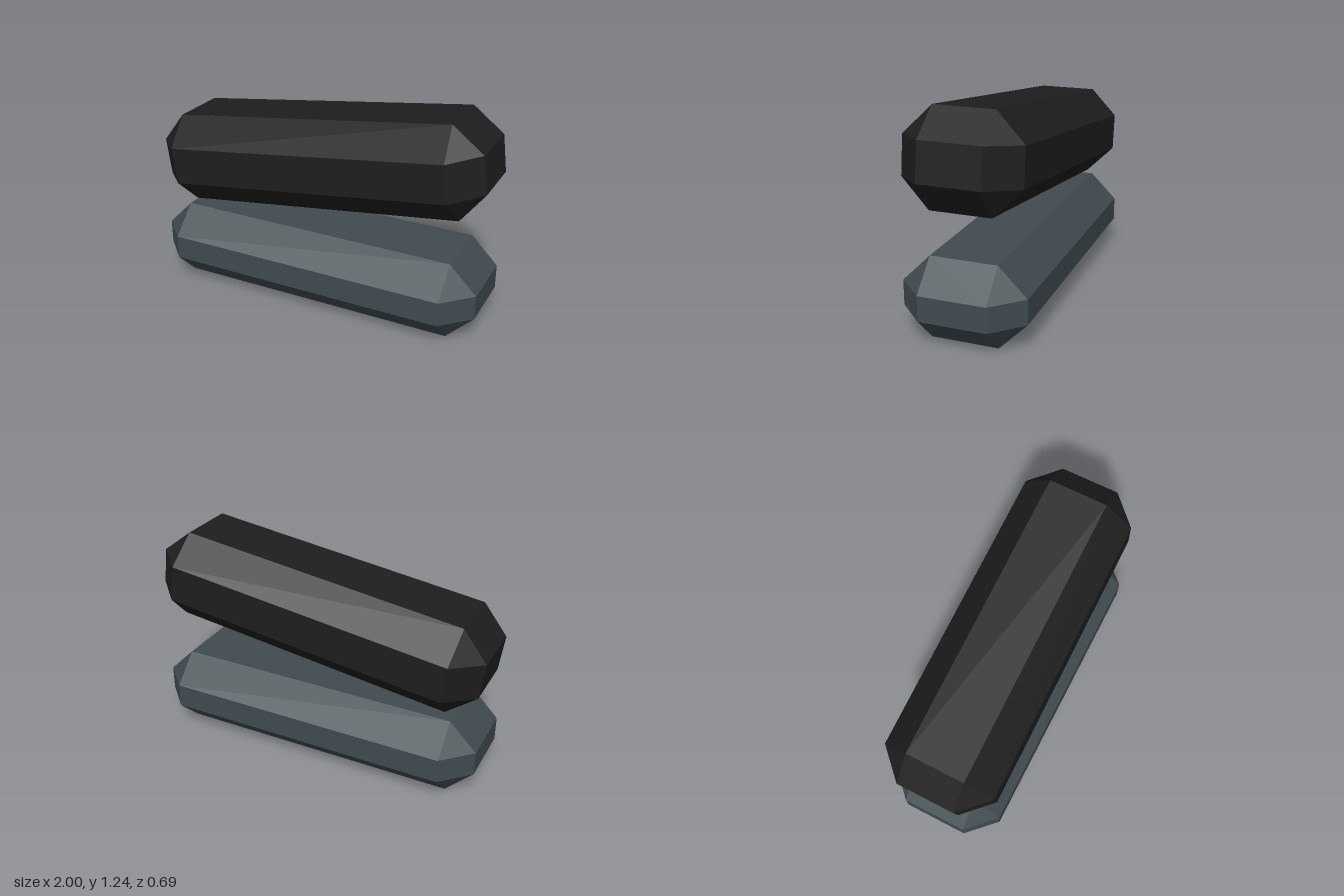
import * as THREE from 'three';
import { ConvexGeometry } from 'three/addons/geometries/ConvexGeometry.js';

// Box with every edge cut by a flat bevel and every corner by a triangle
function bevelledBox(width, height, depth, bevel) {
  const half = [width / 2, height / 2, depth / 2];
  const points = [];
  for (const sx of [-1, 1]) for (const sy of [-1, 1]) for (const sz of [-1, 1]) {
    const signs = [sx, sy, sz];
    // each corner gives one point per adjoining face
    for (let face = 0; face < 3; face++) {
      const p = signs.map((s, i) => s * (half[i] - (i === face ? 0 : bevel)));
      points.push(new THREE.Vector3(...p));
    }
  }
  return new ConvexGeometry(points);
}

export function createModel() {
  const slate = new THREE.MeshStandardMaterial({ color: 0x404b50 });
  slate.name = 'slate grey';
  const black = new THREE.MeshStandardMaterial({ color: 0x1e1e1e });
  black.name = 'soft black';

  const group = new THREE.Group();

  // Level lower block
  const lower = new THREE.Mesh(bevelledBox(1.985, 0.458, 0.692, 0.158), slate);
  lower.name = 'lowerBlock';
  lower.position.y = 0.229;

  // Tilted upper block, raised at +x
  const upper = new THREE.Mesh(bevelledBox(1.985, 0.53, 0.655, 0.158), black);
  upper.name = 'upperBlock';
  upper.position.y = 0.867;
  upper.rotation.z = THREE.MathUtils.degToRad(7.5);

  group.add(lower, upper);
  return group;
}
